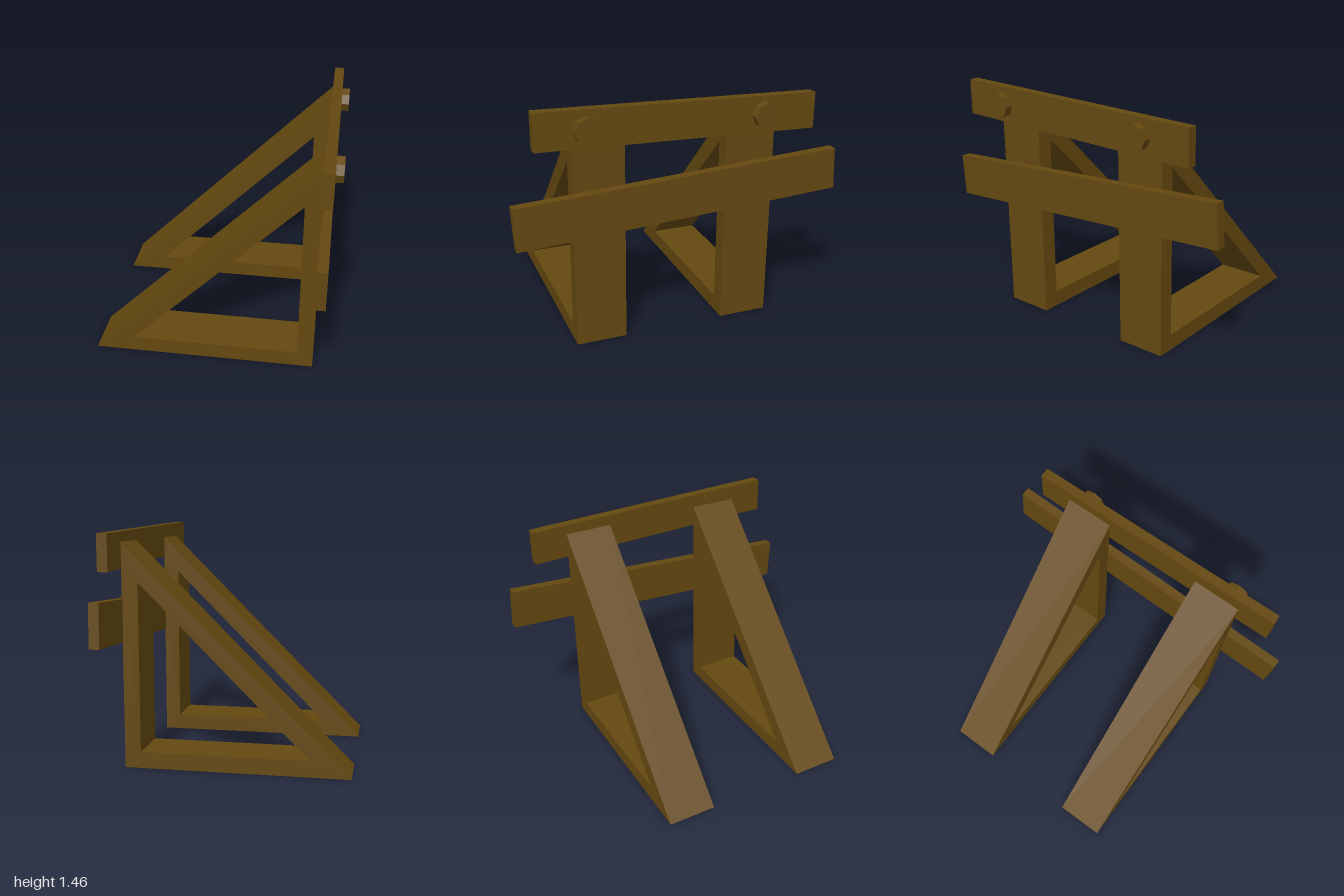
import * as THREE from 'three';

export function createModel() {
  const model = new THREE.Group();
  const wood = new THREE.MeshStandardMaterial({ color: 0x644810, flatShading: true });
  wood.name = 'brown wood';

  function add(name, geometry, x, y, z) {
    const mesh = new THREE.Mesh(geometry, wood);
    mesh.name = name;
    mesh.position.set(x, y, z);
    model.add(mesh);
    return mesh;
  }
  const points = list => list.map(([x, y]) => new THREE.Vector2(x, y));

  // Two open triangular supports
  const outline = new THREE.Shape(points([[-0.742, 0], [0.626, 0], [0.626, 1.365]]));
  outline.holes.push(new THREE.Path(points([[-0.5, 0.1], [0.528, 1.128], [0.528, 0.1]])));
  const frame = new THREE.ExtrudeGeometry(outline, { depth: 0.305, bevelEnabled: false });
  add('frontSupport', frame, 0, 0, 0.34);
  add('backSupport', frame, 0, 0, -0.59);

  // Lower plank, tipped along its length
  const lower = add('lowerPlank', new THREE.BoxGeometry(0.06, 0.257, 1.987), 0.653, 0.868, 0);
  lower.rotation.x = 0.054;

  // Upper plank, slanted but with upright ends
  const upper = new THREE.BoxGeometry(0.062, 0.217, 1.677);
  const p = upper.attributes.position;
  for (let i = 0; i < p.count; i++) {
    const z = p.getZ(i);
    p.setX(i, p.getX(i) - z * 0.006);
    p.setY(i, p.getY(i) + z * 0.025);
  }
  upper.computeVertexNormals();
  add('upperPlank', upper, 0.657, 1.332, 0.028);

  // Eight-sided bolt heads
  for (const [name, x, y, z] of [['frontBolt', 0.69, 1.342, 0.575], ['backBolt', 0.698, 1.32, -0.483]]) {
    add(name, new THREE.CylinderGeometry(0.078, 0.078, 0.08, 8), x, y, z).rotation.z = -Math.PI / 2;
  }
  return model;
}
